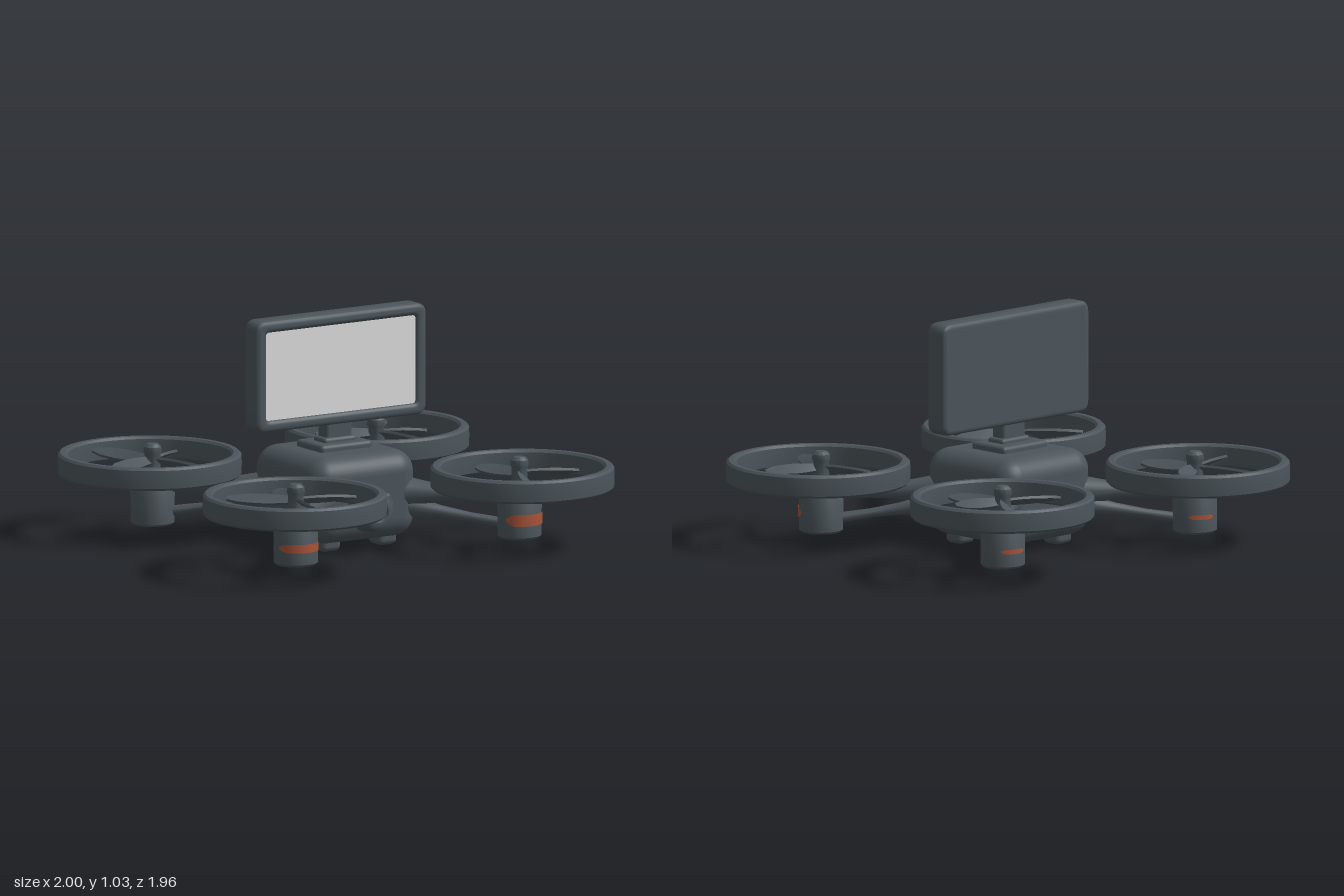
import * as THREE from 'three';
import { toCreasedNormals } from 'three/addons/utils/BufferGeometryUtils.js';
import { RoundedBoxGeometry } from 'three/addons/geometries/RoundedBoxGeometry.js';

const mat = (name, color, side = THREE.FrontSide) => {
  const m = new THREE.MeshStandardMaterial({ color, side });
  m.name = name;
  return m;
};

export function createModel() {
  const model = new THREE.Group();
  model.name = 'screenDrone';
  const slate = mat('slateGrey', 0x4c555b);
  const white = mat('screenWhite', 0xdedede);
  const orange = mat('burntOrange', 0xa85438, THREE.DoubleSide);

  const add = (parent, name, geo, x = 0, y = 0, z = 0, material = slate) => {
    const mesh = new THREE.Mesh(geo, material);
    mesh.name = name;
    mesh.position.set(x, y, z);
    parent.add(mesh);
    return mesh;
  };
  const lathe = (pts, seg = 32) => toCreasedNormals(
    new THREE.LatheGeometry(pts.map(p => new THREE.Vector2(...p)), seg), 0.6);

  // Tapered round strut between two points
  const strut = (name, a, b, ra, rb) => {
    const p = new THREE.Vector3(...a), d = new THREE.Vector3(...b).sub(p);
    const len = d.length();
    const profile = [[ra * 1.25, 0], [ra, len * 0.15], [(ra + rb) * 0.42, len * 0.4], [rb, len * 0.7], [rb * 1.15, len]];
    const mesh = add(model, name, lathe(profile, 14), ...a);
    mesh.quaternion.setFromUnitVectors(new THREE.Vector3(0, 1, 0), d.normalize());
  };

  // Body with feet
  add(model, 'body', new RoundedBoxGeometry(0.54, 0.385, 0.55, 5, 0.095), -0.003, 0.232, -0.003);
  for (const x of [-0.15, 0.145]) for (const z of [-0.155, 0.15])
    add(model, 'foot', new RoundedBoxGeometry(0.1, 0.075, 0.1, 3, 0.025), x, 0.038, z);

  // Camera pod with lens recess
  const pod = add(model, 'cameraPod', lathe([
    [0.1, 0], [0.095, 0.05], [0.085, 0.07], [0.078, 0.095], [0.06, 0.107],
    [0.045, 0.107], [0.035, 0.085], [0, 0.08]], 24), -0.005, 0.185, 0.25);
  pod.rotation.x = Math.PI / 2;
  for (const s of [-1, 1])
    add(model, 'cameraBracket', new RoundedBoxGeometry(0.045, 0.07, 0.05, 2, 0.015), -0.008 + s * 0.082, 0.22, 0.285)
      .rotation.z = s * 0.4;

  // Mount between body and display
  add(model, 'mountPlate', new RoundedBoxGeometry(0.27, 0.05, 0.21, 3, 0.018), -0.005, 0.43, -0.005);
  add(model, 'mountNeck', new RoundedBoxGeometry(0.135, 0.13, 0.075, 3, 0.015), -0.005, 0.5, 0);
  add(model, 'mountCollar', new RoundedBoxGeometry(0.17, 0.04, 0.1, 3, 0.015), -0.005, 0.455, 0);

  // Display: bevelled frame, back panel and screen
  const roundRect = (path, w, h, r) => path
    .moveTo(-w / 2 + r, -h / 2)
    .lineTo(w / 2 - r, -h / 2).quadraticCurveTo(w / 2, -h / 2, w / 2, -h / 2 + r)
    .lineTo(w / 2, h / 2 - r).quadraticCurveTo(w / 2, h / 2, w / 2 - r, h / 2)
    .lineTo(-w / 2 + r, h / 2).quadraticCurveTo(-w / 2, h / 2, -w / 2, h / 2 - r)
    .lineTo(-w / 2, -h / 2 + r).quadraticCurveTo(-w / 2, -h / 2, -w / 2 + r, -h / 2);
  const display = new THREE.Group();
  display.name = 'display';
  display.position.set(-0.005, 0.78, 0.003);
  model.add(display);
  const outline = new THREE.Shape(), opening = new THREE.Path();
  roundRect(outline, 0.89, 0.495, 0.05);
  roundRect(opening, 0.78, 0.39, 0.015);
  outline.holes.push(opening);
  const bevel = 0.02;
  const frame = new THREE.ExtrudeGeometry(outline, {
    depth: 0.07, bevelEnabled: true, bevelSize: bevel, bevelThickness: bevel,
    bevelOffset: -bevel, bevelSegments: 4, curveSegments: 6 });
  add(display, 'displayFrame', toCreasedNormals(frame, 0.6), 0, 0, -0.035);
  add(display, 'displayBack', new THREE.BoxGeometry(0.83, 0.44, 0.05), 0, 0, -0.0305);
  add(display, 'screen', new THREE.BoxGeometry(0.79, 0.4, 0.008), 0, 0, 0.037, white);

  // Propeller blade along +x, widening and twisting toward the tip
  const blade = (len) => {
    const g = new THREE.BoxGeometry(len, 0.012, 1, 6, 1, 1);
    g.translate(len / 2, 0, 0);
    const p = g.attributes.position;
    for (let i = 0; i < p.count; i++) {
      const t = p.getX(i) / len;
      const w = t > 0.9 ? 0.025 : 0.03 + 0.035 * Math.sin(Math.PI * Math.min(1, t * 0.85));
      const twist = 0.75 - 0.4 * t, z = p.getZ(i) * w, y = p.getY(i);
      p.setY(i, y * Math.cos(twist) + z * Math.sin(twist));
      p.setZ(i, z * Math.cos(twist) - y * Math.sin(twist));
    }
    return toCreasedNormals(g, 0.5);
  };

  // Painted band on the motor, tapering to both ends
  const band = (centre, spread, height) => {
    const g = new THREE.CylinderGeometry(0.1, 0.1, height, 20, 1, true, centre - spread, spread * 2);
    const p = g.attributes.position, uv = g.attributes.uv;
    for (let i = 0; i < p.count; i++)
      p.setY(i, p.getY(i) * Math.min(1, 0.3 + 1.6 * Math.sin(Math.PI * uv.getX(i))));
    return g;
  };

  // Rotor units: sides, blade tips (x, z from the hub) and band (angle, spread, height, y)
  const rotors = [
    { sx: -1, sz: -1, tips: [[-0.09, -0.33], [0.19, -0.11], [-0.27, 0.09], [0.09, 0.24]], paint: [2.7, 0.6, 0.02, 0.13] },
    { sx: 1, sz: -1, tips: [[0.16, -0.2], [-0.25, -0.1], [0.08, 0.25], [0.21, 0.08]], paint: [2.9, 0.6, 0.02, 0.13] },
    { sx: -1, sz: 1, tips: [[-0.23, -0.2], [0.05, -0.24], [0.26, 0.08], [-0.05, 0.27]], paint: [0, 1.4, 0.038, 0.135] },
    { sx: 1, sz: 1, tips: [[-0.08, -0.22], [0.25, 0.09], [-0.12, 0.25]], paint: [0.05, 1.25, 0.052, 0.14] },
  ];
  for (const { sx, sz, tips, paint } of rotors) {
    const unit = new THREE.Group();
    unit.name = 'rotorUnit';
    unit.position.set(sx * 0.585, 0, sz * 0.57);
    model.add(unit);

    // Guard ring
    add(unit, 'guardRing', lathe([
      [0.368, 0.27], [0.392, 0.27], [0.402, 0.28], [0.404, 0.32], [0.402, 0.36], [0.392, 0.37],
      [0.368, 0.37], [0.358, 0.36], [0.356, 0.32], [0.358, 0.28], [0.368, 0.27]], 48), sx * 0.01, 0, sz * 0.008);

    // Motor can, shaft and spinner
    add(unit, 'motor', lathe([
      [0, 0.052], [0.088, 0.052], [0.097, 0.062], [0.098, 0.24], [0.09, 0.255],
      [0.09, 0.265], [0.075, 0.275], [0.05, 0.285], [0.036, 0.3], [0.034, 0.36],
      [0.04, 0.372], [0.038, 0.395], [0.025, 0.408], [0, 0.411]], 28));
    const [centre, spread, height, y] = paint;
    add(unit, 'motorBand', band(centre, spread, height), 0, y, 0, orange);

    // Propeller
    for (const [x, z] of tips)
      add(unit, 'blade', blade(Math.hypot(x, z)), 0, 0.335, 0).rotation.y = Math.atan2(-z, x);

    // Twin arm struts
    strut('upperArm', [sx * 0.2, 0.235, sz * 0.2], [sx * 0.54, 0.232, sz * 0.525], 0.06, 0.032);
    strut('lowerArm', [sx * 0.2, 0.18, sz * 0.2], [sx * 0.53, 0.112, sz * 0.515], 0.045, 0.02);
  }
  return model;
}
